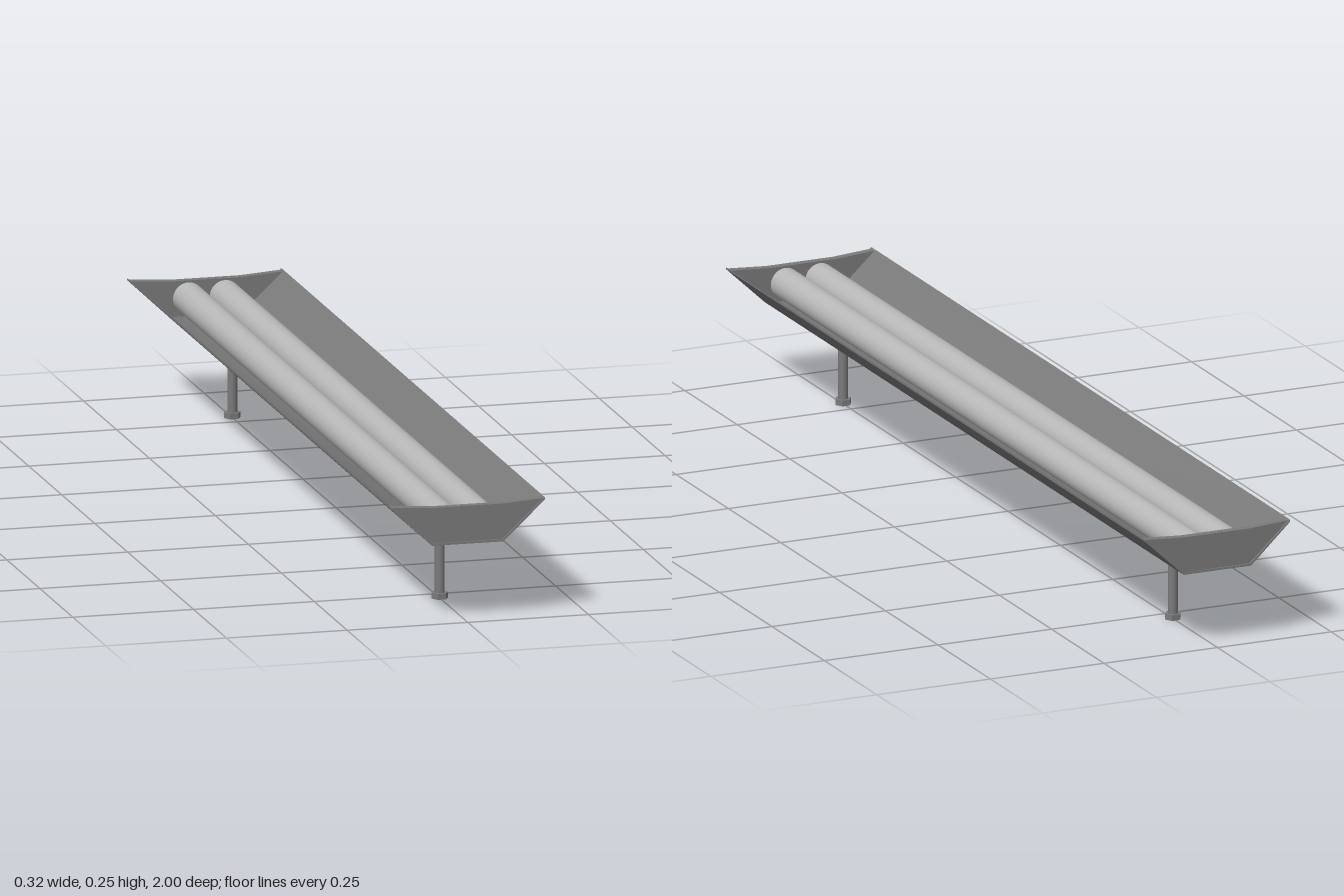
import * as THREE from 'three';
import { toCreasedNormals } from 'three/addons/utils/BufferGeometryUtils.js';

const metal = new THREE.MeshStandardMaterial({ color: 0x7a7a7a });
const glass = new THREE.MeshStandardMaterial({ color: 0xb8b8b8 });

// Extrude an x/y outline along z, centred on z = 0
function extrude(points, depth) {
  const shape = new THREE.Shape(points.map(([x, y]) => new THREE.Vector2(x, y)));
  const geometry = new THREE.ExtrudeGeometry(shape, { depth, bevelEnabled: false });
  geometry.translate(0, 0, -depth / 2);
  return toCreasedNormals(geometry, 0.8);
}

export function createModel() {
  const model = new THREE.Group();
  const add = (name, geometry, material, x = 0, y = 0, z = 0) => {
    const mesh = new THREE.Mesh(geometry, material);
    mesh.name = name;
    mesh.position.set(x, y, z);
    model.add(mesh);
  };

  // Thin folded trough running the full length
  add('reflectorTrough', extrude([
    [-0.16, 0.243], [-0.074, 0.162], [0.074, 0.162], [0.16, 0.243],
    [0.16, 0.247], [0.072, 0.166], [-0.072, 0.166], [-0.16, 0.247],
  ], 2), metal);

  // End plates with a dipped top edge, set just inside the trough ends
  const plate = extrude([
    [-0.158, 0.245], [-0.073, 0.165], [0.073, 0.165], [0.158, 0.245],
    [0.073, 0.239], [-0.073, 0.239],
  ], 0.016);
  for (const side of [1, -1]) add('endPlate', plate, metal, 0, 0, side * 0.988);

  // Twin lamp tubes
  const tube = new THREE.CylinderGeometry(0.032, 0.032, 1.962, 32);
  tube.rotateX(Math.PI / 2);
  for (const side of [1, -1]) add('lampTube', tube, glass, side * 0.038, 0.203, 0);

  // Support posts with hexagonal feet
  const post = new THREE.CylinderGeometry(0.01, 0.01, 0.155, 20);
  const foot = toCreasedNormals(new THREE.CylinderGeometry(0.017, 0.017, 0.012, 6), 0.5);
  foot.rotateY(Math.PI / 6);
  for (const side of [1, -1]) {
    add('supportPost', post, metal, 0, 0.086, side * 0.787);
    add('postFoot', foot, metal, 0, 0.006, side * 0.787);
  }

  return model;
}
